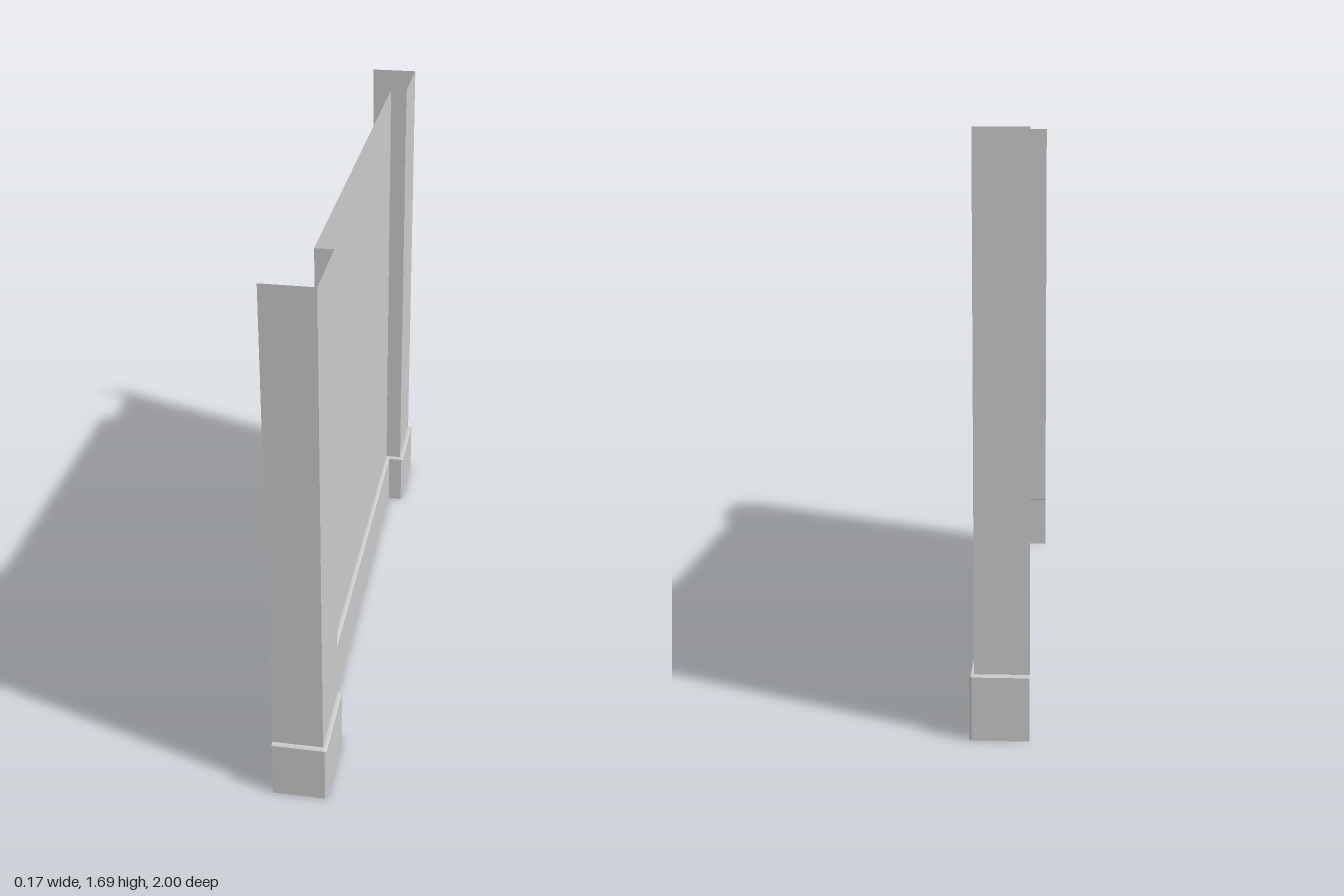
import * as THREE from 'three';

const material = new THREE.MeshStandardMaterial({
  color: 0xcccccc, flatShading: true, side: THREE.DoubleSide,
});

// Completes a half outline of [x, z] points by mirroring it across z = 0.
function mirrorOutline(half) {
  return [...half, ...half.map(([x, z]) => [x, -z]).reverse()];
}

// Joins successive rows { outline, y } into a flat-shaded sheet.
function sheet(name, rows) {
  const positions = [];
  for (let r = 0; r < rows.length - 1; r++) {
    const lower = rows[r], upper = rows[r + 1];
    for (let i = 0; i < lower.outline.length - 1; i++) {
      const corner = (row, k) => [row.outline[k][0], row.y, row.outline[k][1]];
      const a = corner(lower, i), b = corner(lower, i + 1);
      const c = corner(upper, i + 1), d = corner(upper, i);
      positions.push(...a, ...b, ...c, ...a, ...c, ...d);
    }
  }
  const geometry = new THREE.BufferGeometry();
  geometry.setAttribute('position', new THREE.Float32BufferAttribute(positions, 3));
  geometry.computeVertexNormals();
  const mesh = new THREE.Mesh(geometry, material);
  mesh.name = name;
  return mesh;
}

// Outline of the skirting at a given distance outside the wall face.
// The outward corners are cut by a small bevel.
function skirtingOutline(offset) {
  const bevel = 0.001 + offset * 0.4;
  const x = 0.07 + offset, end = 0.987 + offset, step = 0.737 - offset;
  return mirrorOutline([
    [-0.085, end],
    [x - bevel, end], [x, end - bevel],
    [x, step + bevel], [x - bevel, step],
    [0.015 + offset, step],
  ]);
}

export function createModel() {
  const group = new THREE.Group();
  group.name = 'wallSection';

  const height = 1.69, skirtingHeight = 0.19, thickness = 0.013;

  // Recessed panel, two projecting piers and their end returns
  const wall = mirrorOutline([
    [-0.085, 0.987], [0.07, 0.987], [0.07, 0.737], [0.015, 0.737],
  ]);
  group.add(sheet('wall', [
    { outline: wall, y: skirtingHeight },
    { outline: wall, y: height },
  ]));

  // Skirting board: underside lip, face, bevelled edge and top lip
  const inner = skirtingOutline(0);
  const outer = skirtingOutline(thickness);
  group.add(sheet('skirtingBoard', [
    { outline: inner, y: 0 },
    { outline: outer, y: 0 },
    { outline: outer, y: skirtingHeight - 0.005 },
    { outline: skirtingOutline(thickness - 0.005), y: skirtingHeight },
    { outline: inner, y: skirtingHeight },
  ]));

  return group;
}
